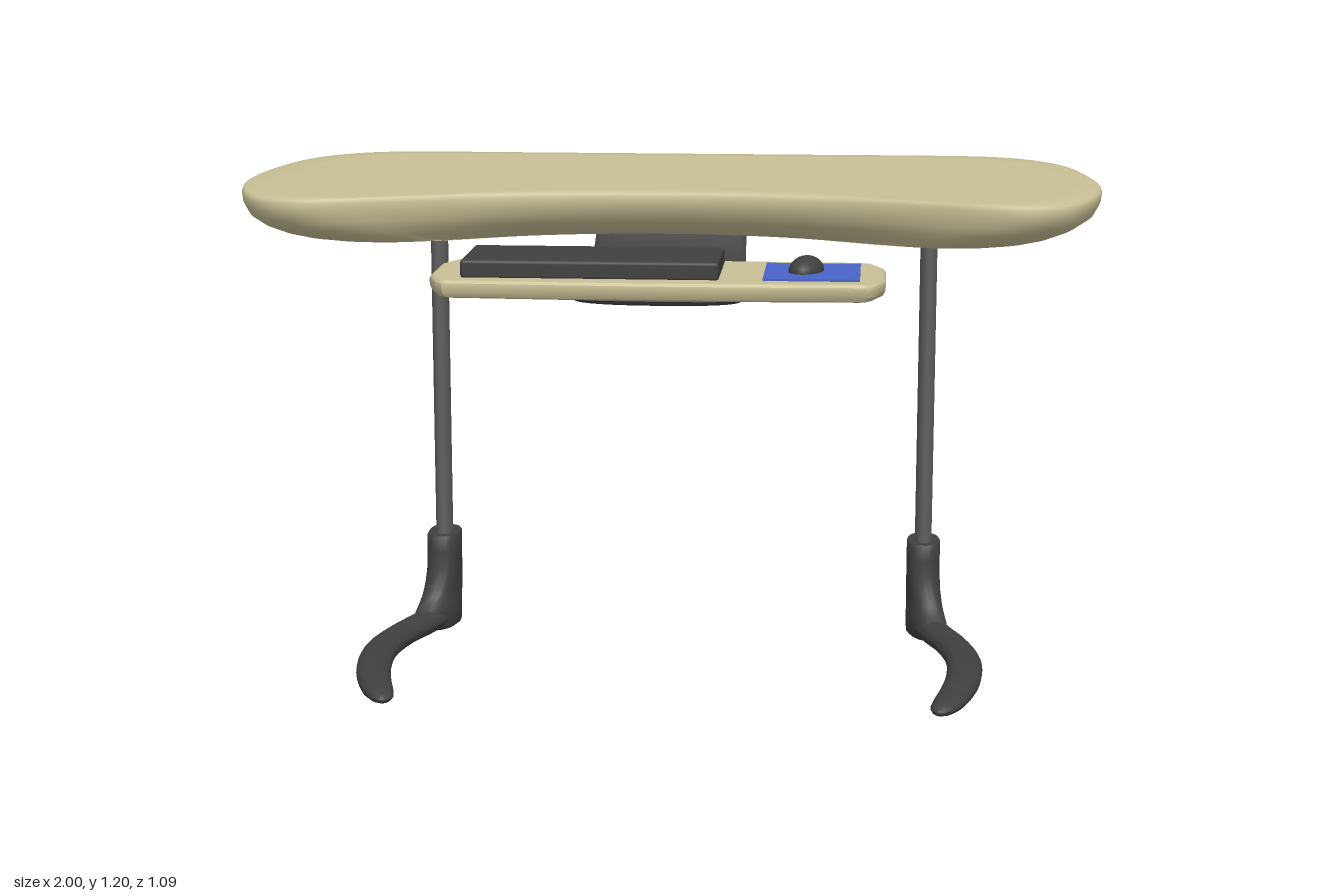
import * as THREE from 'three';
import { toCreasedNormals } from 'three/addons/utils/BufferGeometryUtils.js';
import { RoundedBoxGeometry } from 'three/addons/geometries/RoundedBoxGeometry.js';

const mat = (color) => new THREE.MeshStandardMaterial({ color });
const V = (x, y, z) => new THREE.Vector3(x, y, z);

// Skin a list of equal-length rings (counterclockwise about the travel direction) and cap both ends
function loft(rings, crease = 0.7) {
  const n = rings[0].length, pos = [], idx = [];
  const center = (r) => r.reduce((a, p) => a.add(p), V(0, 0, 0)).divideScalar(n);
  rings.flat().forEach((p) => pos.push(p.x, p.y, p.z));
  const last = rings.length - 1, c0 = rings.length * n;
  [rings[0], rings[last]].forEach((r) => pos.push(...center(r).toArray()));
  for (let j = 0; j < n; j++) {
    const k = (j + 1) % n;
    for (let i = 0; i < last; i++) {
      const a = i * n + j, b = i * n + k, c = a + n, d = b + n;
      idx.push(a, b, d, a, d, c);
    }
    idx.push(c0, k, j, c0 + 1, last * n + j, last * n + k);
  }
  const g = new THREE.BufferGeometry();
  g.setAttribute('position', new THREE.Float32BufferAttribute(pos, 3));
  g.setIndex(idx);
  return toCreasedNormals(g, crease);
}

// Slab from an outline in x/z, layers run top to bottom: [y, x scale, z inset]
function slab(outline, layers, crease) {
  const n = outline.length;
  const nz = outline.map((p, i) => {
    const a = outline[(i + n - 1) % n], b = outline[(i + 1) % n];
    return -(b[0] - a[0]) / Math.hypot(b[0] - a[0], b[1] - a[1]);
  });
  return loft(layers.map(([y, k, inset]) =>
    outline.map(([x, z], i) => V(x * k, y, z - nz[i] * inset))), crease);
}

// Complete a half outline (back centre to front centre) by mirroring in x
const mirrored = (half) => [...half, ...half.filter((p) => p[0] > 0).reverse().map(([x, z]) => [-x, z])];

// Sweep a superellipse along a path; stations are [x, y, z, half width, half height]
function sweep(stations, steps, power = 1, sides = 28) {
  const path = new THREE.CatmullRomCurve3(stations.map((s) => V(s[0], s[1], s[2])));
  const size = new THREE.CatmullRomCurve3(stations.map((s) => V(s[3], s[4], 0)), false, 'catmullrom', 0.3);
  const pw = (v) => Math.sign(v) * Math.abs(v) ** power;
  const rings = [];
  for (let i = 0; i <= steps; i++) {
    const p = path.getPoint(i / steps), t = path.getTangent(i / steps), s = size.getPoint(i / steps);
    const side = V(t.z, 0, -t.x).normalize(), up = t.clone().cross(side);
    rings.push(Array.from({ length: sides }, (_, j) => {
      const a = (j / sides) * Math.PI * 2;
      return p.clone().addScaledVector(side, pw(Math.cos(a)) * s.x).addScaledVector(up, pw(Math.sin(a)) * s.y);
    }));
  }
  return loft(rings);
}

export function createModel() {
  const model = new THREE.Group();
  const wood = mat(0xc8c096), dark = mat(0x404040), steel = mat(0x606060), blue = mat(0x4a63c8);
  const add = (parent, name, geo, material) => {
    const m = new THREE.Mesh(geo, material);
    m.name = name;
    parent.add(m);
    return m;
  };

  // Desktop: kidney outline with a thick rounded underside
  const half = [[0, -0.545], [0.35, -0.545], [0.66, -0.545], [0.78, -0.528], [0.87, -0.47], [0.94, -0.36],
    [0.98, -0.2], [1, 0], [0.99, 0.13], [0.96, 0.26], [0.92, 0.35], [0.865, 0.4], [0.8, 0.417],
    [0.72, 0.402], [0.6, 0.357], [0.4, 0.285], [0.2, 0.245], [0, 0.232]];
  const curve = new THREE.CatmullRomCurve3(mirrored(half).map(([x, z]) => V(x, 0, z)), true);
  const outline = curve.getPoints(136).slice(0, -1).map((p) => [p.x, p.z]);
  add(model, 'desktop', slab(outline, [
    [1.2, 0.9, 0.06], [1.2, 0.99, 0.009], [1.196, 0.997, 0.003], [1.188, 1, 0], [1.17, 0.998, 0.001],
    [1.145, 0.985, 0.01], [1.125, 0.955, 0.028], [1.108, 0.91, 0.055], [1.097, 0.86, 0.08],
    [1.09, 0.8, 0.105], [1.09, 0.7, 0.13]]), wood);

  // Keyboard tray with clipped corners
  const tray = new THREE.Group();
  tray.name = 'keyboardTray';
  model.add(tray);
  const trayOutline = mirrored([[0, 0.2], [0.44, 0.205], [0.475, 0.215], [0.505, 0.29], [0.505, 0.44],
    [0.48, 0.515], [0.465, 0.532], [0.2, 0.542], [0, 0.544]]);
  add(tray, 'trayBoard', slab(trayOutline, [[1.04, 0.985, 0.006], [1.034, 0.997, 0.001], [1.028, 1, 0],
    [1.012, 0.996, 0.003], [1.003, 0.985, 0.008], [1.0, 0.965, 0.014]], 0.5), wood);
  add(tray, 'keyboard', new RoundedBoxGeometry(0.57, 0.042, 0.232, 2, 0.008), dark).position.set(-0.145, 1.058, 0.37);
  add(tray, 'mousePad', new THREE.BoxGeometry(0.212, 0.006, 0.23), blue).position.set(0.342, 1.042, 0.37);
  const mouse = add(tray, 'mouse',
    new THREE.SphereGeometry(1, 28, 10, 0, Math.PI * 2, 0, Math.PI / 2), dark);
  mouse.scale.set(0.038, 0.035, 0.06);
  mouse.position.set(0.328, 1.044, 0.366);
  mouse.rotation.y = -0.25;

  // Broad curved arm hanging the tray from the desktop
  add(tray, 'trayArm', sweep([
    [0, 1.115, -0.065, 0.175, 0.013], [0, 1.08, -0.012, 0.177, 0.013], [0, 1.035, 0.05, 0.179, 0.013],
    [0, 1.005, 0.12, 0.182, 0.013], [0, 0.985, 0.2, 0.185, 0.013], [0, 0.978, 0.3, 0.186, 0.014],
    [0, 0.982, 0.4, 0.186, 0.014], [0, 0.984, 0.425, 0.185, 0.011], [0, 0.986, 0.433, 0.18, 0.004]], 40, 0.8), dark);

  // Legs: oval post, flared socket and a foot bowing outward
  for (const s of [1, -1]) {
    const leg = new THREE.Group();
    leg.name = s > 0 ? 'leftLeg' : 'rightLeg';
    model.add(leg);

    const post = add(leg, 'post', new THREE.CylinderGeometry(1, 1, 0.92, 28), steel);
    post.scale.set(0.021, 1, 0.0375);
    post.position.set(s * 0.613, 0.64, -0.382);

    // Socket layers: [y, front z, back z, half width, outward shift of the front]
    const layers = [[0, -0.3, -0.445, 0.033, 0.01], [0.006, -0.27, -0.454, 0.04, 0.02],
      [0.03, -0.235, -0.456, 0.042, 0.035], [0.055, -0.235, -0.456, 0.042, 0.035],
      [0.072, -0.262, -0.456, 0.042, 0.026], [0.09, -0.282, -0.456, 0.042, 0.018],
      [0.12, -0.298, -0.456, 0.042, 0.008], [0.16, -0.309, -0.456, 0.042, 0], [0.2, -0.313, -0.456, 0.042, 0],
      [0.236, -0.315, -0.456, 0.042, 0], [0.241, -0.319, -0.452, 0.039, 0]];
    const pw = (v) => Math.sign(v) * Math.abs(v) ** 0.75;
    add(leg, 'footSocket', loft(layers.map(([y, f, b, w, shift]) => Array.from({ length: 28 }, (_, j) => {
      const a = (j / 28) * Math.PI * 2, c = pw(Math.cos(a));
      return V(s * (0.614 + shift * Math.max(0, c)) + pw(Math.sin(a)) * w, y, (f + b) / 2 + c * (f - b) / 2);
    }))), dark);

    add(leg, 'foot', sweep([
      [0.614, 0.035, -0.36, 0.038, 0.03], [0.645, 0.034, -0.25, 0.04, 0.029], [0.682, 0.036, -0.14, 0.041, 0.027],
      [0.706, 0.042, 0, 0.042, 0.027], [0.708, 0.043, 0.1, 0.042, 0.026], [0.695, 0.039, 0.21, 0.041, 0.025],
      [0.668, 0.034, 0.31, 0.037, 0.021], [0.65, 0.031, 0.355, 0.029, 0.016], [0.642, 0.029, 0.374, 0.018, 0.01],
      [0.638, 0.028, 0.382, 0.004, 0.003]].map(([x, ...r]) => [s * x, ...r]), 48), dark);
  }
  return model;
}
